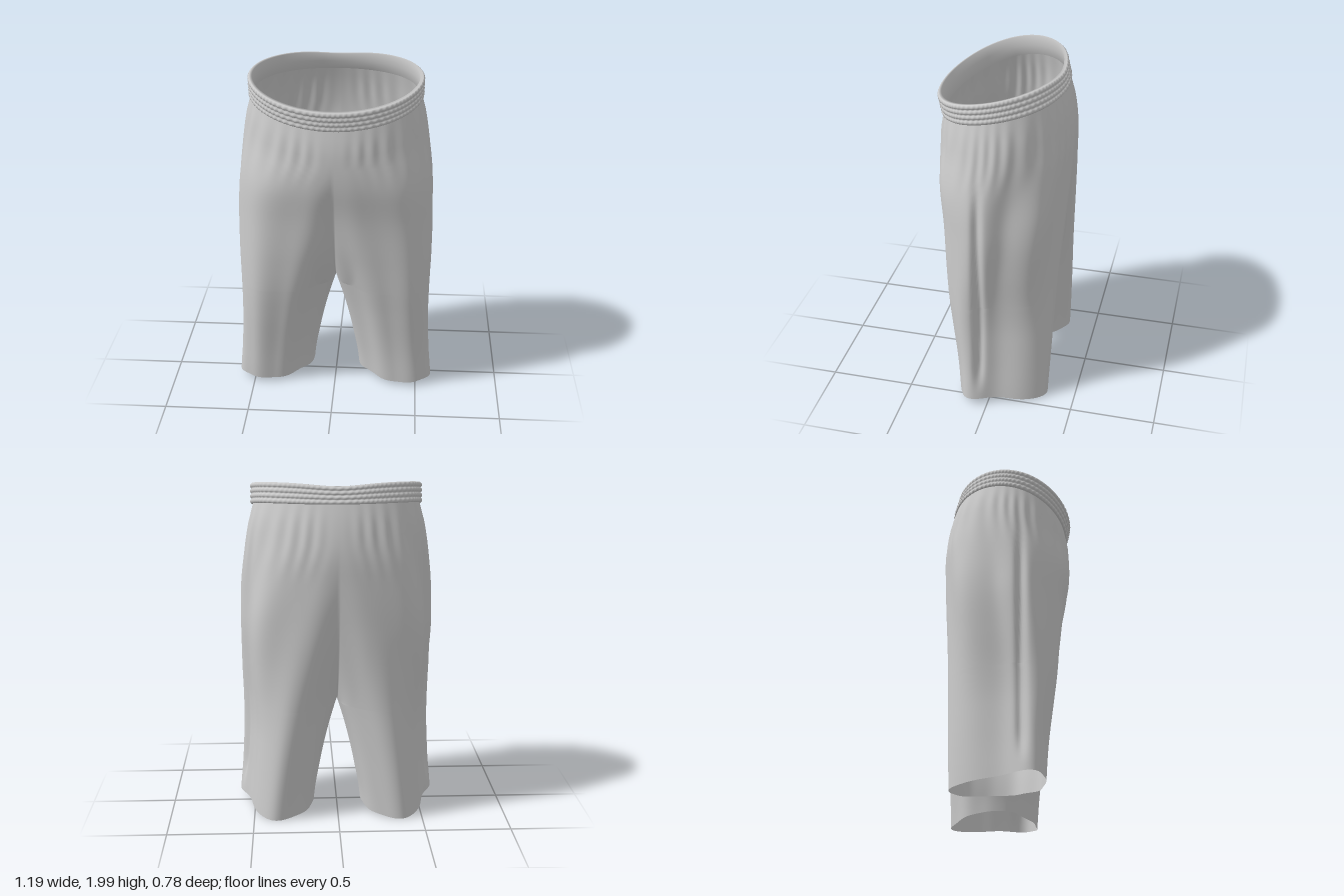
import * as THREE from 'three';
import { mergeGeometries, mergeVertices } from 'three/addons/utils/BufferGeometryUtils.js';

const cloth = new THREE.MeshStandardMaterial({ color: 0xcccccc, side: THREE.DoubleSide });
const smooth = THREE.MathUtils.smoothstep;
const bump = (x, centre, width) => Math.exp(-(((x - centre) / width) ** 2));

// The waist is lower in front than at the back
const tilt = z => -0.21 * z - 0.27 * z * z;

// Outline by height: front z, back z, outer x
const heights = [0, 0.25, 0.5, 0.68, 0.9, 1.15, 1.4, 1.6, 1.75, 1.85];
const outline = new THREE.CubicInterpolant(heights, [
  0.180, -0.325, 0.594,
  0.200, -0.333, 0.576,
  0.236, -0.340, 0.564,
  0.264, -0.345, 0.564,
  0.290, -0.355, 0.570,
  0.318, -0.370, 0.572,
  0.360, -0.385, 0.558,
  0.372, -0.388, 0.532,
  0.368, -0.364, 0.506,
  0.352, -0.336, 0.482,
], 3);

// Grid of quads from a point function; mirror = -1 reflects it in x
function surface(rows, cols, point, mirror = 1) {
  const positions = [], index = [];
  for (let i = 0; i <= rows; i++) {
    for (let j = 0; j <= cols; j++) {
      const [x, y, z] = point(i, j / cols);
      positions.push(mirror * x, y, z);
      if (i === rows || j === cols) continue;
      const a = i * (cols + 1) + j, b = a + 1, c = b + cols + 1, d = c - 1;
      index.push(...(mirror > 0 ? [a, b, c, a, c, d] : [a, c, b, a, d, c]));
    }
  }
  const g = new THREE.BufferGeometry();
  g.setAttribute('position', new THREE.Float32BufferAttribute(positions, 3));
  g.setIndex(index);
  return g;
}

function weld(geometries, name) {
  const g = mergeVertices(mergeGeometries(geometries), 1e-5);
  g.computeVertexNormals();
  const mesh = new THREE.Mesh(g, cloth);
  mesh.name = name;
  return mesh;
}

// Rows run hem to crotch, then crotch to waist, closest together at the crotch
const CROTCH = 0.68, LOW = 18, HIGH = 40, TOP = 1.85;
const rowHeight = i => i <= LOW
  ? CROTCH * i / LOW
  : CROTCH + (TOP - CROTCH) * ((i - LOW) / HIGH) ** 2;

// One half: a closed leg section that opens above the crotch into half a body section
function halfPoint(i, u) {
  const v = rowHeight(i);
  const [front, back, outer] = outline.evaluate(v);
  const drop = Math.max(0, CROTCH - v);
  const inner = 0.33 * drop - 0.18 * drop * drop;
  const open = Math.max(90, 180 - 92 * Math.sqrt(Math.max(0, v - CROTCH))) * Math.PI / 180;
  const t = open * (1 - 2 * u);
  const cos = Math.cos(t), sin = Math.sin(t);
  const rx = (outer - inner) / (1 - Math.cos(open));
  const rz = (front - back) / 2;
  const out = Math.max(cos, 0);
  const below = 1 - smooth(v, 1.2, 1.75);
  const leg = 1 - smooth(v, 0.45, 1.3);
  let x = outer - rx + rx * cos;
  // The widest line of each leg lies forward of its middle
  let z = (front + back) / 2 + rz * sin + (0.06 + 0.07 * leg) * out * out * below;

  // Flattened leg corners, hip fold, long drapes and gathers under the waistband
  const seamFade = smooth(Math.sin(Math.PI * u), 0, 0.35);
  const legShape = -0.05 * bump(t, -0.55, 0.4) - 0.03 * bump(t, 2.15, 0.4);
  const hipShape = 0.025 * bump(t, -0.85, 0.25) - 0.02 * bump(t, -0.38, 0.2);
  const corner = (legShape * leg + hipShape * (1 - leg)) * below;
  const drape = 0.006 * Math.sin(7 * t + 1.2 * v) * (1 - smooth(v, 1.3, 1.8));
  const gather = 0.004 * Math.sin(30 * t + 2 * Math.sin(5 * t)) * smooth(v, 1.4, 1.7) * (1 - smooth(v, 1.72, TOP));
  const fold = (corner + drape + gather) * seamFade;
  x += fold * cos;
  z += fold * sin;

  // Side pleat
  x -= 0.03 * bump(z, 0.05, 0.026) * smooth(cos, 0.3, 0.8) * smooth(v, 0, 0.3) * below;
  if (u === 0 || u === 1) x = inner;

  const hem = (0.012 + 0.033 * cos * cos + 0.01 * sin) * (1 - smooth(v, 0, 0.3));
  return [Math.max(x, 0), v + hem + tilt(z) * smooth(v, 1.2, TOP), z];
}

// Elastic waistband: four puckered channels outside, plain lining inside
const CHANNELS = 4, STEPS = 6, BAND = 0.115;
const OUTER = CHANNELS * STEPS;
function bandPoint(i, u) {
  const a = (u === 1 ? 0 : u) * Math.PI * 2;
  let h, r;
  if (i <= OUTER) {
    const k = i / STEPS;
    const pucker = 0.0025 * Math.sin(90 * a + 2.1 * Math.floor(k) + 3 * Math.sin(7 * a));
    h = k / CHANNELS;
    r = -0.002 + Math.abs(Math.sin(Math.PI * k)) ** 0.7 * (0.008 + pucker);
  } else {
    [h, r] = [[0.99, -0.018], [0.5, -0.02], [0.02, -0.018], [0, -0.002]][i - OUTER - 1];
  }
  // The band leans forward, so it closes in at the back and juts out in front
  const x = (0.491 + r) * Math.sin(a);
  const z0 = 0.008 + (0.35 + r) * Math.cos(a);
  const backDip = 0.018 * bump(x, 0, 0.18) * (z0 < 0 ? 1 : 0) * h;
  return [x, 1.842 + BAND * h + tilt(z0) - backDip, z0 + 0.025 * h];
}

export function createModel() {
  const group = new THREE.Group();
  group.name = 'shorts';
  const halves = [1, -1].map(side => surface(LOW + HIGH, 150, halfPoint, side));
  group.add(weld(halves, 'legsAndSeat'));
  group.add(weld([surface(OUTER + 4, 360, bandPoint)], 'waistband'));
  return group;
}
